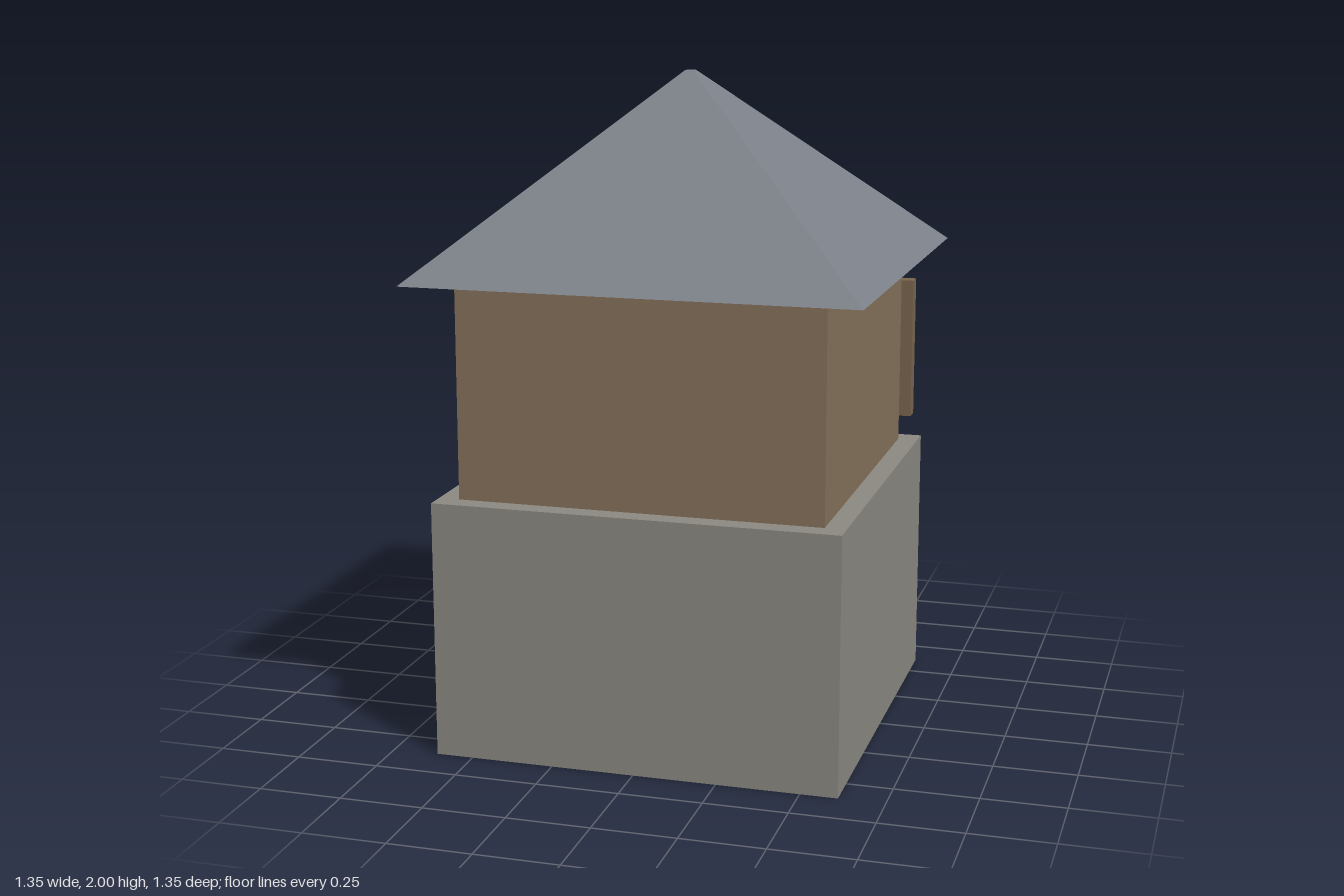
import * as THREE from 'three';

const material = (color) => new THREE.MeshStandardMaterial({ color, flatShading: true });

// Box given by its extents along each axis
function block(name, mat, [x0, x1], [y0, y1], [z0, z1]) {
  const mesh = new THREE.Mesh(new THREE.BoxGeometry(x1 - x0, y1 - y0, z1 - z0), mat);
  mesh.position.set((x0 + x1) / 2, (y0 + y1) / 2, (z0 + z1) / 2);
  mesh.name = name;
  return mesh;
}

export function createModel() {
  const house = new THREE.Group();
  house.name = 'towerHouse';

  const stone = material(0x8c8a83);
  const timber = material(0x86725c);
  const darkWood = material(0x7a664e);
  const slate = material(0x7c8189);
  const glass = material(0xa29d90);

  // Two storeys, the upper one set back
  house.add(block('stoneGroundFloor', stone, [-0.612, 0.612], [0, 0.777], [-0.612, 0.612]));
  house.add(block('timberUpperFloor', timber, [-0.549, 0.549], [0.777, 1.425], [-0.549, 0.549]));

  // Hipped roof with a tiny flat top
  const roofBase = 1.425, roofTop = 2;
  const roof = new THREE.Mesh(
    new THREE.CylinderGeometry(0.013 * Math.SQRT2, 0.674 * Math.SQRT2, roofTop - roofBase, 4, 1, false, Math.PI / 4),
    slate
  );
  roof.position.y = (roofBase + roofTop) / 2;
  roof.name = 'roof';
  house.add(roof);

  // Door on the back wall
  house.add(block('door', darkWood, [-0.42, 0.035], [0.02, 0.66], [-0.637, -0.605]));

  // Window standing clear of the upper wall
  const window = new THREE.Group();
  window.name = 'window';
  window.add(block('windowFrame', darkWood, [0, 0.578], [0.842, 1.292], [-0.65, -0.6]));
  window.add(block('windowPane', glass, [0.054, 0.526], [0.892, 1.242], [-0.663, -0.64]));
  house.add(window);

  return house;
}
